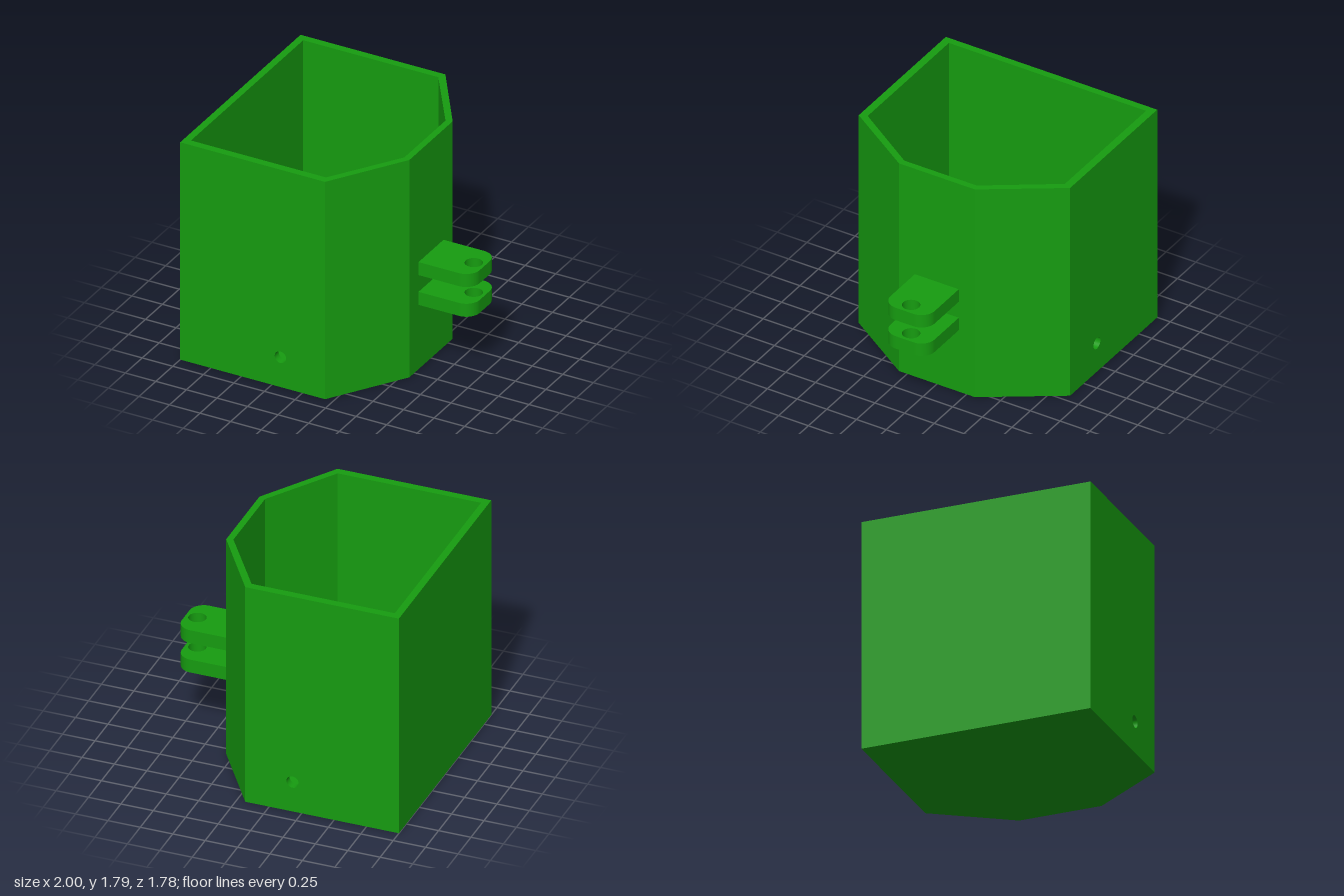
import * as THREE from 'three';
import { mergeGeometries, toCreasedNormals } from 'three/addons/utils/BufferGeometryUtils.js';

const HEIGHT = 1.79, FLOOR = 0.055;
const HOLE = { x: -0.18, y: 0.245, r: 0.047 };

// Plan outlines as [x, z], starting at the front wall
const outer = [[-1, 0.89], [0.185, 0.89], [0.56, 0.32], [0.56, -0.32], [0.185, -0.89], [-1, -0.89]];
const inner = [[-0.945, 0.83], [0.16, 0.83], [0.51, 0.305], [0.51, -0.305], [0.16, -0.83], [-0.945, -0.83]];

const toShape = (pts) => new THREE.Shape(pts.map(([x, z]) => new THREE.Vector2(x, z)));

function circlePath(x, y, r) {
  const path = new THREE.Path();
  path.absarc(x, y, r, 0, Math.PI * 2, true);
  return path;
}

// Upright panel from a to b, facing away from the right-hand side of travel
function panel(a, b, y0, y1, drilled) {
  const dx = b[0] - a[0], dz = b[1] - a[1], len = Math.hypot(dx, dz);
  const shape = toShape([[0, y0], [len, y0], [len, y1], [0, y1]]);
  if (drilled) shape.holes.push(circlePath(Math.abs(HOLE.x - a[0]), HOLE.y, HOLE.r));
  return new THREE.ShapeGeometry(shape, 24).rotateY(-Math.atan2(dz, dx)).translate(a[0], 0, a[1]);
}

// All walls of one outline; the front (0) and back (4) walls are drilled
function walls(pts, y0, inward) {
  return pts.map((a, i) => {
    const b = pts[(i + 1) % pts.length];
    const drilled = i === 0 || i === 4;
    return inward ? panel(b, a, y0, HEIGHT, drilled) : panel(a, b, y0, HEIGHT, drilled);
  });
}

export function createModel() {
  const group = new THREE.Group();
  const color = 0x169c10;
  const material = new THREE.MeshStandardMaterial({ color });
  const boreMaterial = new THREE.MeshStandardMaterial({ color, side: THREE.BackSide });
  const add = (name, geometry, mat = material) => {
    const mesh = new THREE.Mesh(geometry, mat);
    mesh.name = name;
    group.add(mesh);
    return mesh;
  };

  // Open container
  add('outerWalls', mergeGeometries(walls(outer, 0, false)));
  add('innerWalls', mergeGeometries(walls(inner, FLOOR, true)));

  const rim = toShape(outer);
  rim.holes.push(toShape(inner));
  add('rim', new THREE.ShapeGeometry(rim).rotateX(-Math.PI / 2).translate(0, HEIGHT, 0));
  add('floor', new THREE.ShapeGeometry(toShape(inner)).rotateX(-Math.PI / 2).translate(0, FLOOR, 0));
  add('base', new THREE.ShapeGeometry(toShape(outer)).rotateX(Math.PI / 2));

  // Bores through the front and back walls
  for (const side of [1, -1]) {
    const bore = new THREE.CylinderGeometry(HOLE.r, HOLE.r, 0.06, 48, 1, true).rotateX(Math.PI / 2);
    add(side > 0 ? 'frontBore' : 'backBore', bore, boreMaterial).position.set(HOLE.x, HOLE.y, side * 0.86);
  }

  // Pair of hinge lugs with rounded outer corners
  const w = 0.185, r = 0.11;
  const lug = new THREE.Shape();
  lug.moveTo(0.56, -w);
  lug.lineTo(1 - r, -w);
  lug.absarc(1 - r, r - w, r, -Math.PI / 2, 0, false);
  lug.absarc(1 - r, w - r, r, 0, Math.PI / 2, false);
  lug.lineTo(0.56, w);
  lug.closePath();
  lug.holes.push(circlePath(0.91, 0, 0.066));
  for (const [name, y0, y1] of [['lowerLug', 0.53, 0.637], ['upperLug', 0.775, 0.882]]) {
    const geo = new THREE.ExtrudeGeometry(lug, { depth: y1 - y0, bevelEnabled: false, curveSegments: 20 });
    add(name, toCreasedNormals(geo.rotateX(-Math.PI / 2), 0.6)).position.y = y0;
  }
  return group;
}
